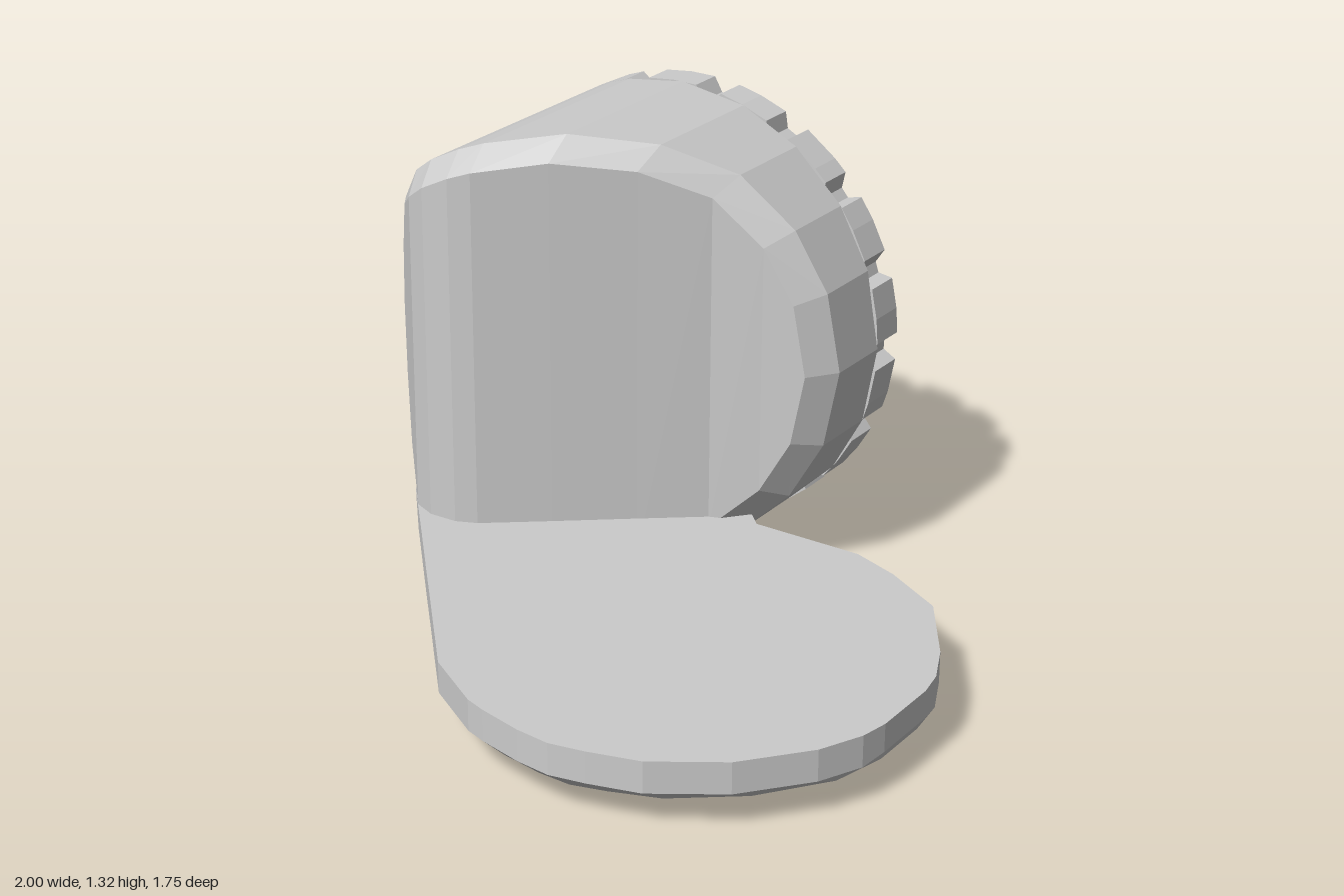
import * as THREE from 'three';

const material = new THREE.MeshStandardMaterial({ color: 0xcccccc, flatShading: true });
const CX = -0.34, CY = 0.66, R = 0.66;

function makeMesh(name, geometry) {
  const mesh = new THREE.Mesh(geometry, material);
  mesh.name = name;
  return mesh;
}

// Skin a list of equal-length loops; caps are strips between mirrored points.
function loft(rings) {
  const n = rings[0].length, pos = [];
  const quad = (a, b, c, d) => pos.push(...a, ...b, ...c, ...a, ...c, ...d);
  for (let k = 0; k < rings.length - 1; k++) {
    const p = rings[k], q = rings[k + 1];
    for (let i = 0; i < n; i++) {
      const j = (i + 1) % n;
      quad(p[i], p[j], q[j], q[i]);
    }
  }
  const first = rings[0], last = rings[rings.length - 1];
  for (let i = 0; i < n / 2; i++) {
    const lo = (n - i) % n, lo2 = n - i - 1;
    quad(last[i], last[i + 1], last[lo2], last[lo]);
    quad(first[lo], first[lo2], first[i + 1], first[i]);
  }
  const g = new THREE.BufferGeometry();
  g.setAttribute('position', new THREE.Float32BufferAttribute(pos, 3));
  g.computeVertexNormals();
  return g;
}

// Plan outline of the drum's slanted front: z for a given x.
const cutLine = [[-1, -0.31], [-0.72, 0], [-0.65, 0.03], [-0.57, 0.03], [-0.5, 0],
  [0, -0.4], [0.14, -0.45], [0.33, -0.5]];
function cut(x) {
  for (let i = 1; i < cutLine.length; i++) {
    const [x0, z0] = cutLine[i - 1], [x1, z1] = cutLine[i];
    if (x <= x1) return z0 + (z1 - z0) * (x - x0) / (x1 - x0);
  }
  return -0.5;
}

// Drum: round body whose front is cut at a slant, with a bevelled edge.
function drum() {
  const half = [0, 20, 37, 55, 72, 90, 106, 112, 121, 129, 145, 162, 180];
  const angles = [...half, ...half.slice(1, -1).reverse().map(a => 360 - a)];
  const back = [], shoulder = [], front = [];
  for (const a of angles) {
    const c = Math.cos(a * Math.PI / 180), s = Math.sin(a * Math.PI / 180);
    const bevel = c < -0.7 ? 0.02 : 0.06;
    const r = R - bevel, z = cut(CX + r * c);
    back.push([CX + R * c, CY + R * s, -0.77]);
    shoulder.push([CX + R * c, CY + R * s, z - bevel * 1.4]);
    front.push([CX + r * c, CY + r * s, z]);
  }
  return loft([back, shoulder, front]);
}

// Back rim: a notched disc, its rear face slightly tilted.
function rim() {
  const teeth = 17, outline = [];
  for (let i = 0; i < teeth; i++) {
    const steps = [[0.06, R], [0.36 + 0.1 * Math.sin(i * 2.3), R], [0.72, R], [0.8, R - 0.04], [0.94, R - 0.04]];
    for (const [f, r] of steps) {
      const t = (i + f) / teeth * Math.PI * 2;
      outline.push(new THREE.Vector2(CX + r * Math.cos(t), CY + r * Math.sin(t)));
    }
  }
  const g = new THREE.ExtrudeGeometry(new THREE.Shape(outline), { depth: 0.1, bevelEnabled: false });
  const p = g.attributes.position;
  for (let i = 0; i < p.count; i++) {
    p.setZ(i, p.getZ(i) > 0.05 ? -0.769 : -0.85 - 0.022 * (p.getX(i) + 1));
  }
  g.computeVertexNormals();
  return g;
}

// Tongue: flat-topped rounded slab, running out of the drum's underside.
function tongue() {
  // x, back z, front z
  const stations = [
    [-0.79, -0.14, -0.08], [-0.72, -0.18, 0], [-0.6, -0.2, 0.135], [-0.45, -0.3, 0.305],
    [-0.33, -0.36, 0.44], [-0.1, -0.46, 0.7], [0.08, -0.5, 0.81], [0.14, -0.44, 0.83],
    [0.27, -0.44, 0.86], [0.37, -0.44, 0.87], [0.47, -0.44, 0.85], [0.61, -0.39, 0.81],
    [0.79, -0.29, 0.69], [0.93, -0.08, 0.52], [0.985, 0.04, 0.4], [1, 0.12, 0.32]];
  const rings = stations.map(([x, zb, zf]) => {
    let low = x < -0.33 ? CY - Math.sqrt(R * R - (x - CX) ** 2) : 0.07 * (x + 0.33) / 1.29;
    if (x > 0.97) low = x < 1 ? 0.09 : 0.12;
    const mid = Math.max(0.11, low);
    const inset = Math.min(0.09, (zf - zb) * 0.25);
    const insetBack = x > 0.1 ? inset : 0;
    return [[x, 0.2, zb], [x, 0.2, zf], [x, mid, zf],
      [x, low, zf - inset], [x, low, zb + insetBack], [x, mid, zb]];
  });
  return loft(rings);
}

export function createModel() {
  const group = new THREE.Group();
  group.name = 'drumWithTongue';
  group.add(makeMesh('drum', drum()), makeMesh('notchedRim', rim()), makeMesh('tongue', tongue()));
  return group;
}
